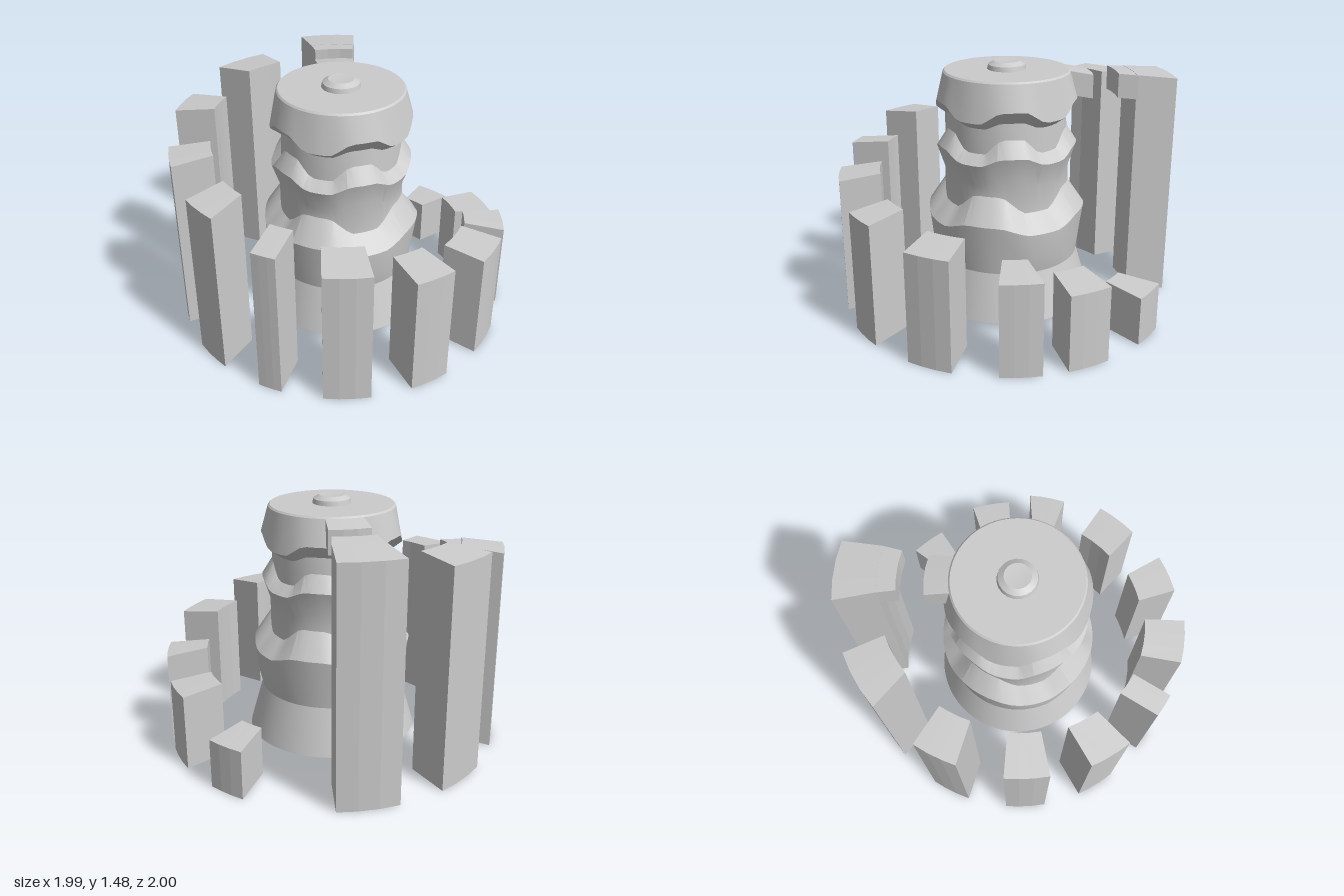
import * as THREE from 'three';
import { toCreasedNormals } from 'three/addons/utils/BufferGeometryUtils.js';

const grey = new THREE.MeshStandardMaterial({ color: 0xcccccc, side: THREE.DoubleSide });
const greyFlat = new THREE.MeshStandardMaterial({ color: 0xcccccc, flatShading: true });
const rad = THREE.MathUtils.degToRad;

// Curved wedge around the axis; its top and bottom rise by `rise` towards the axis.
function wedge({ rIn, rOut, inner, outer, y0, y1, rise, steps = 3 }) {
  const pos = [], index = [];
  for (let i = 0; i <= steps; i++) {
    const a = rad(THREE.MathUtils.lerp(inner[0], inner[1], i / steps));
    const b = rad(THREE.MathUtils.lerp(outer[0], outer[1], i / steps));
    const put = (r, ang, y) => pos.push(r * Math.cos(ang), y, r * Math.sin(ang));
    put(rIn, a, y0 + rise);
    put(rOut, b, y0);
    put(rOut, b, y1);
    put(rIn, a, y1 + rise);
  }
  for (let i = 0; i < steps; i++) {
    for (let j = 0; j < 4; j++) {
      const p = i * 4 + j, q = i * 4 + (j + 1) % 4;
      index.push(p, q, q + 4, p, q + 4, p + 4);
    }
  }
  const e = steps * 4;
  index.push(e, e + 1, e + 2, e, e + 2, e + 3, 0, 2, 1, 0, 3, 2);
  const g = new THREE.BufferGeometry();
  g.setAttribute('position', new THREE.Float32BufferAttribute(pos, 3));
  g.setIndex(index);
  const flat = g.toNonIndexed();
  flat.computeVertexNormals();
  return flat;
}

// Flat-topped wave between -1 and 1
function wave(angle, lobes, peak) {
  return THREE.MathUtils.clamp(1.6 * Math.cos(lobes * (angle - rad(peak))), -1, 1);
}

// Lathe whose rows [radius, height, wave size, lobes, peak angle] ripple up and down
function rippledLathe(rows, segments) {
  const g = new THREE.LatheGeometry(rows.map(([r, y]) => new THREE.Vector2(r, y)), segments);
  const p = g.attributes.position;
  for (let i = 0; i < p.count; i++) {
    const [, y, size = 0, lobes = 1, peak = 0] = rows[i % rows.length];
    p.setY(i, y + size * wave(Math.atan2(p.getZ(i), p.getX(i)), lobes, peak));
  }
  return toCreasedNormals(g, 0.4);
}

export function createModel() {
  const model = new THREE.Group();
  const add = (name, geometry, material, parent = model) => {
    const mesh = new THREE.Mesh(geometry, material);
    mesh.name = name;
    parent.add(mesh);
  };

  // Central tower, open underneath
  add('tower', rippledLathe([
    [0.51, 0.04], [0.43, 0.32],
    [0.455, 0.47, 0.05, 4, 57], [0.47, 0.595, 0.025, 4, 57], [0.37, 0.72, 0.05, 4, 57],
    [0.37, 0.85, 0.02, 5, 107], [0.415, 0.985, 0.025, 5, 107], [0.355, 1.06, 0.045, 5, 107],
    [0.35, 1.18, 0.02, 5, 107], [0.415, 1.24, 0.035, 5, 107],
    [0.372, 1.425], [0.362, 1.435], [0, 1.435],
  ], 60), grey);

  // Small knob on the roof
  add('knob', rippledLathe([
    [0.115, 1.43], [0.108, 1.462], [0.075, 1.482], [0, 1.475],
  ], 20), grey);

  // Spout reaching from the roof to the tallest pillar
  add('spout', wedge({
    rIn: 0.35, rOut: 0.505, inner: [-78, -43], outer: [-74, -47], y0: 1.26, y1: 1.4, rise: 0.03,
  }), greyFlat);

  // Ring of pillars climbing in a spiral: inner angles, outer angles, height
  const pillars = new THREE.Group();
  pillars.name = 'spiralPillars';
  model.add(pillars);
  const list = [
    [-18.3, -7.5, -20.4, -7.4, 0.29],
    [6.8, 21, 6.9, 21.1, 0.45],
    [32, 42.3, 29.4, 42.8, 0.545],
    [57.4, 74.9, 57.5, 72.8, 0.655],
    [89.2, 103.3, 87.7, 101.5, 0.73],
    [115.4, 132.9, 115.2, 130.5, 0.83],
    [144.1, 154.6, 144.2, 152.3, 0.91],
    [169.4, 183.4, 166.9, 181.1, 1.02],
    [195.2, 208.9, 194.7, 209, 1.1],
    [223.7, 237.6, 223.4, 237.8, 1.21],
    [255.6, 273.7, 253.5, 273.4, 1.29],
    [290.2, 311, 289.3, 309.6, 1.37],
  ];
  list.forEach(([a, b, c, d, height], i) => add(`pillar${i + 1}`, wedge({
    rIn: 0.76, rOut: 1, inner: [a, b], outer: [c, d], y0: 0, y1: height, rise: 0.025,
  }), greyFlat, pillars));

  // Lip on the tallest pillar, facing the spout
  add('pillarLip', wedge({
    rIn: 0.653, rOut: 0.77, inner: [290.2, 311], outer: [290.2, 311], y0: 1.25, y1: 1.393, rise: 0.01,
  }), greyFlat);

  return model;
}
